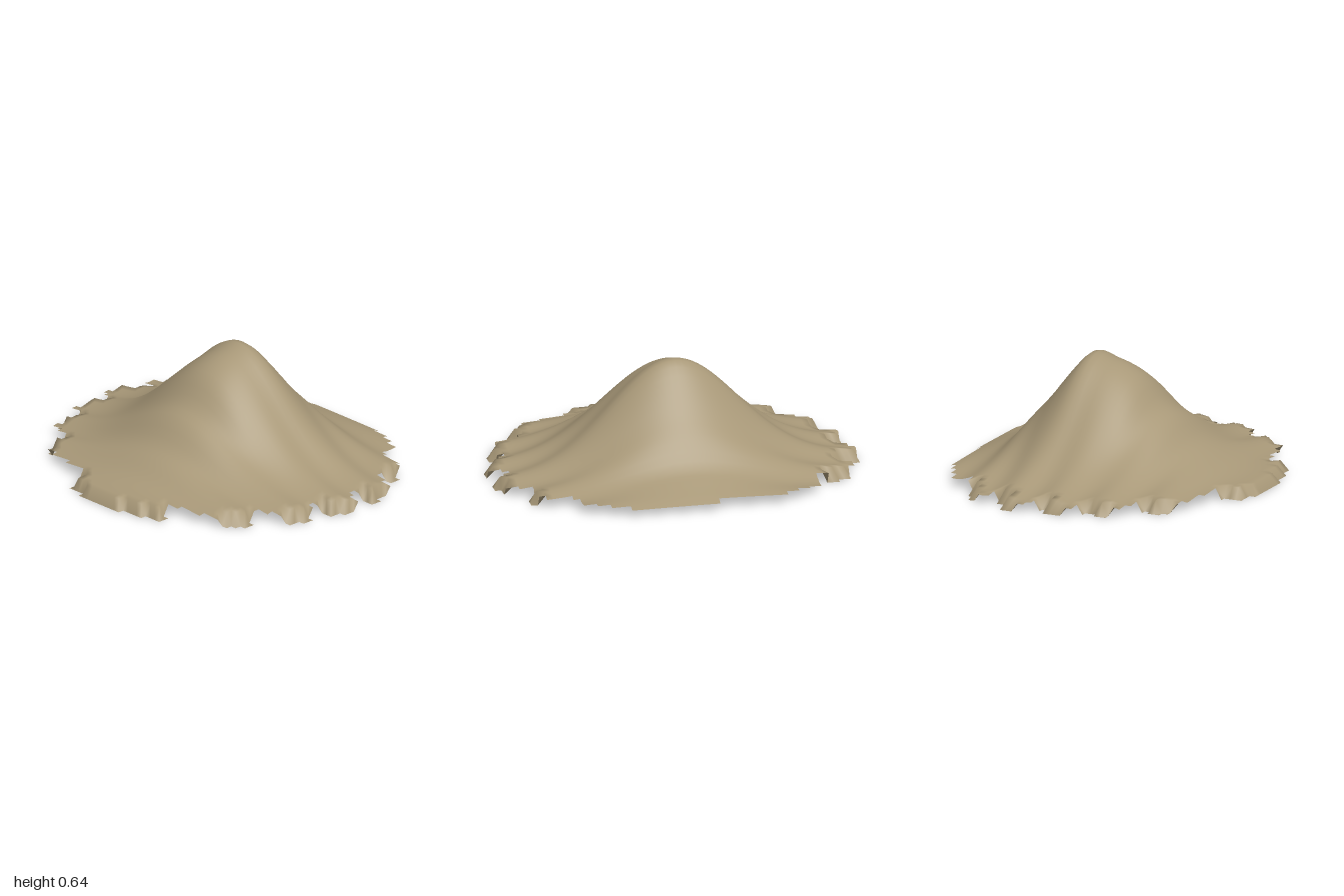
import * as THREE from 'three';

const NX = 50, NZ = 58, X0 = -0.845, DX = 1.69 / NX, DZ = 2 / NZ;

// Stepped outline: pairs of (x where the step starts, z of the edge)
const backEdge = [-0.845, -0.16, -0.81, -0.29, -0.71, -0.32, -0.675, -0.46, -0.64, -0.6, -0.61, -0.66,
  -0.58, -0.7, -0.545, -0.73, -0.475, -0.7, -0.44, -0.73, -0.405, -0.8, -0.37, -0.87, -0.31, -0.9,
  -0.24, -0.87, -0.17, -0.9, -0.135, -0.97, 0.03, -0.9, 0.065, -0.93, 0.1, -0.97, 0.13, -1,
  0.27, -0.9, 0.335, -0.87, 0.37, -0.935, 0.435, -0.9, 0.5, -0.83, 0.54, -0.77, 0.57, -0.7,
  0.705, -0.63, 0.74, -0.56, 0.775, -0.5, 0.81, -0.12];
const frontEdge = [-0.845, 0.15, -0.81, 0.29, -0.78, 0.385, -0.71, 0.345, -0.675, 0.42, -0.645, 0.55,
  -0.61, 0.66, -0.58, 0.7, -0.545, 0.73, -0.51, 0.76, -0.44, 0.73, -0.375, 0.795, -0.34, 0.865,
  -0.31, 0.895, -0.24, 0.93, -0.17, 0.895, -0.135, 0.865, -0.1, 0.895, -0.07, 0.96, 0, 1,
  0.1, 0.93, 0.135, 0.895, 0.165, 0.93, 0.2, 1, 0.27, 0.965, 0.37, 0.895, 0.4, 0.825, 0.47, 0.86,
  0.54, 0.83, 0.57, 0.795, 0.61, 0.66, 0.64, 0.62, 0.745, 0.55, 0.775, 0.49, 0.81, 0.385];

function edgeAt(edge, x) {
  let z = edge[1];
  for (let i = 0; i < edge.length; i += 2) if (x >= edge[i]) z = edge[i + 1];
  return z;
}

// Ridge line of the hill, sampled every 0.1 from x = -0.9 to 0.9
const crest = new THREE.SplineCurve(
  [0.05, 0.06, 0.07, 0.1, 0.16, 0.22, 0.325, 0.395, 0.515, 0.58, 0.615, 0.638, 0.535, 0.405, 0.29,
    0.165, 0.11, 0.065, 0.02].map((y, i) => new THREE.Vector2(-0.9 + i * 0.1, y)));

// Gentle corrugation running from front to back
const wave = x => Math.cos((2 * Math.PI * (x - 0.01)) / 0.26);
const base = x => 0.047 + 0.012 * wave(x) - 0.012 * THREE.MathUtils.smoothstep(x, 0.55, 0.84);

function heightAt(x, z) {
  const b = base(x);
  const rise = Math.max(0, crest.getPoint((x + 0.9) / 1.8).y - b);
  return b + rise * Math.exp(-(z * z) / 0.246);
}

function moundGeometry() {
  const stride = NX + 1;
  const positions = [], index = [];
  const uses = new Array(stride * (NZ + 1)).fill(0);

  // Keep the grid cells inside the stepped outline
  for (let i = 0; i < NX; i++) {
    const xm = X0 + (i + 0.5) * DX;
    const from = Math.round((edgeAt(backEdge, xm) + 1) / DZ);
    const to = Math.round((edgeAt(frontEdge, xm) + 1) / DZ);
    for (let j = from; j < to; j++) {
      const a = j * stride + i, b = a + 1, c = a + stride, d = c + 1;
      index.push(a, c, b, b, c, d);
      for (const v of [a, b, c, d]) uses[v]++;
    }
  }

  // Lift the surface; scallops of the outer rim fold down to the ground
  const remap = new Map();
  uses.forEach((count, v) => {
    if (!count) return;
    remap.set(v, positions.length / 3);
    const x = X0 + (v % stride) * DX, z = -1 + Math.floor(v / stride) * DZ;
    const folds = count < 4 && (x < -0.72 || (x < 0.55 && wave(x) > -0.45));
    positions.push(x, folds ? 0 : heightAt(x, z), z);
  });

  const geometry = new THREE.BufferGeometry();
  geometry.setAttribute('position', new THREE.Float32BufferAttribute(positions, 3));
  geometry.setIndex(index.map(v => remap.get(v)));
  geometry.computeVertexNormals();
  return geometry;
}

export function createModel() {
  const group = new THREE.Group();
  group.name = 'sandMound';
  const sand = new THREE.MeshStandardMaterial({ color: 0xa89878, side: THREE.DoubleSide });
  sand.name = 'sand';
  const mound = new THREE.Mesh(moundGeometry(), sand);
  mound.name = 'moundSurface';
  group.add(mound);
  return group;
}
